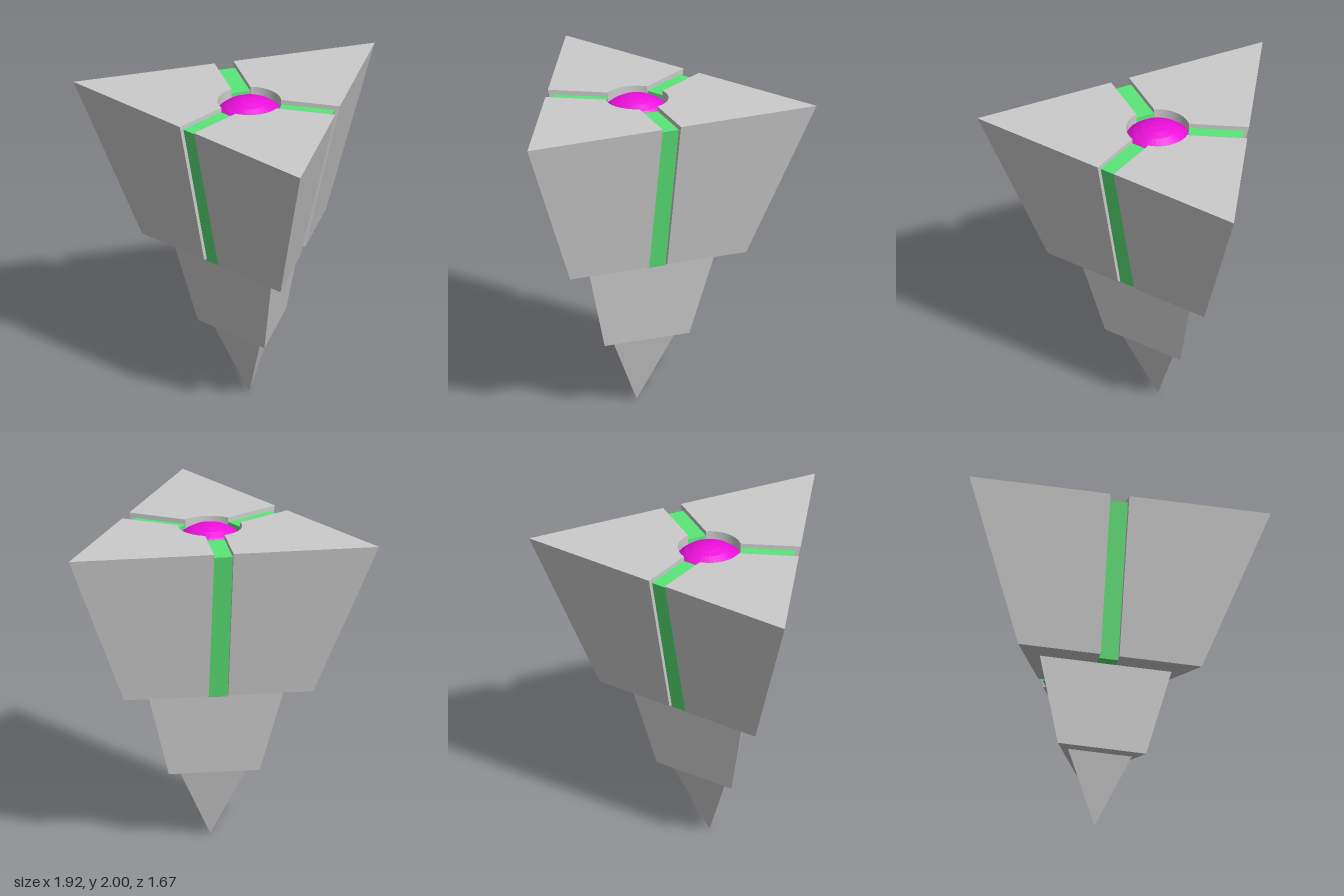
import * as THREE from 'three';

const CENTRE_Z = -0.28;   // axis of the triangular body
const GROOVE = 0.06;      // half width of the grooves
const HOLE = 0.195;       // radius of the socket in the top

const material = (color) => new THREE.MeshStandardMaterial({ color, flatShading: true });

function add(parent, name, geometry, mat) {
  const mesh = new THREE.Mesh(geometry, mat);
  mesh.name = name;
  parent.add(mesh);
  return mesh;
}

// Three-sided solid with one corner towards +z
function threeSided(profile) {
  return new THREE.LatheGeometry(profile.map(([r, y]) => new THREE.Vector2(r, y)), 3).toNonIndexed();
}

// One corner of the upper tier, between two grooves, with an arc cut out for the socket
function cornerBlock() {
  const n = 8;
  const positions = [];
  // Point along the outer edge: groove -> corner -> groove
  const outer = (apothem, y, s) => {
    const side = s < 0.5 ? 1 : -1;
    const k = 1 - Math.abs(s - 0.5) * 2;
    const along = THREE.MathUtils.lerp(GROOVE, apothem * Math.sqrt(3), k);
    const x = apothem * Math.sin(Math.PI / 3) - along * 0.5;
    const z = apothem * 0.5 + along * Math.sin(Math.PI / 3);
    return [side * x, y, z];
  };
  const half = Math.PI / 3 - Math.asin(GROOVE / HOLE);
  const inner = (y, s) => {
    const a = half * (1 - 2 * s);
    return [HOLE * Math.sin(a), y, HOLE * Math.cos(a)];
  };
  const section = (i) => {
    const s = i / (2 * n);
    return [outer(0.338, 1.0, s), outer(0.555, 1.985, s), inner(1.985, s), inner(0.978, s)];
  };
  const quad = (a, b, c, d) => positions.push(...a, ...b, ...c, ...a, ...c, ...d);

  for (let i = 0; i < 2 * n; i++) {
    const p = section(i), q = section(i + 1);
    for (let j = 0; j < 4; j++) {
      const k = (j + 1) % 4;
      quad(p[j], p[k], q[k], q[j]);
    }
  }
  const first = section(0), last = section(2 * n);
  quad(first[0], first[3], first[2], first[1]);
  quad(...last);

  const geometry = new THREE.BufferGeometry();
  geometry.setAttribute('position', new THREE.Float32BufferAttribute(positions, 3));
  geometry.computeVertexNormals();
  return geometry;
}

// Strip that fills a groove, set slightly below the body surface
function grooveStrip() {
  const shape = new THREE.Shape([
    new THREE.Vector2(0.188, 0.985),
    new THREE.Vector2(0.312, 0.985),
    new THREE.Vector2(0.522, 1.955),
    new THREE.Vector2(0.188, 1.955),
  ]);
  return new THREE.ExtrudeGeometry(shape, { depth: 2 * GROOVE, bevelEnabled: false })
    .translate(0, 0, -GROOVE);
}

export function createModel() {
  const model = new THREE.Group();
  model.name = 'steppedSpike';
  const body = new THREE.Group();
  body.name = 'body';
  body.position.z = CENTRE_Z;
  model.add(body);

  const grey = material(0xcccccc);
  const green = material(0x5ae678);
  const magenta = material(0xee10dd);

  // Pointed tip and middle tier
  add(body, 'tip', threeSided([[0, 0], [0.235, 0.44], [0, 0.44]]), grey);
  add(body, 'middleTier', threeSided([[0, 0.43], [0.235, 0.44], [0.325, 0.45], [0.485, 0.985], [0, 0.985]]), grey);

  // Upper tier: three corner blocks and three groove strips
  const block = cornerBlock();
  const strip = grooveStrip();
  for (let i = 0; i < 3; i++) {
    const turn = (i * 2 * Math.PI) / 3;
    add(body, 'upperCorner', block, grey).rotation.y = turn;
    add(body, 'grooveStrip', strip, green).rotation.y = Math.PI / 2 + turn;
  }

  // Domed gem in the socket
  const dome = new THREE.SphereGeometry(0.28, 32, 4, 0, Math.PI * 2, 0, Math.asin(HOLE / 0.28));
  add(body, 'gem', dome, magenta).position.y = 1.72;

  return model;
}
